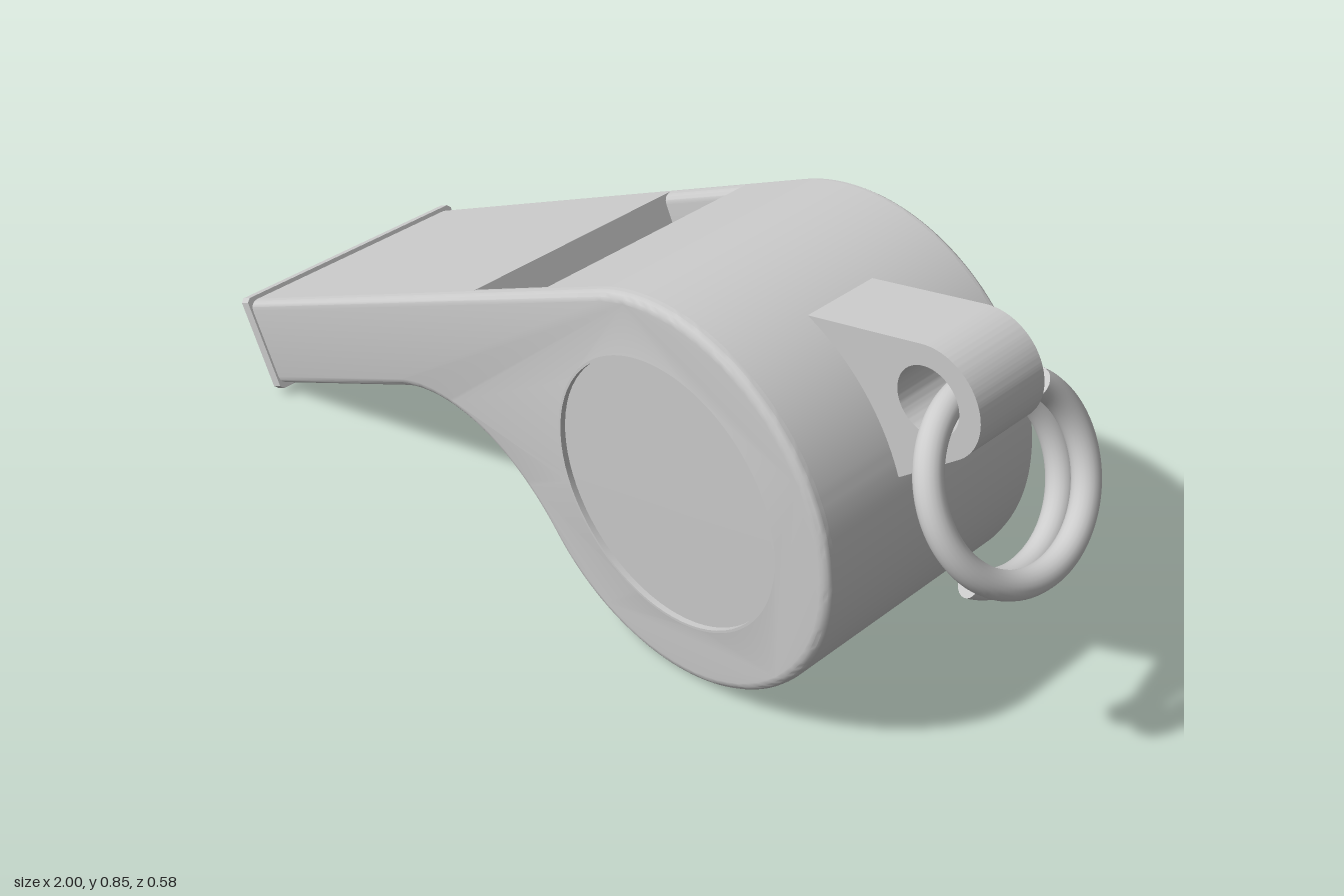
import * as THREE from 'three';
import { toCreasedNormals } from 'three/addons/utils/BufferGeometryUtils.js';

const material = new THREE.MeshStandardMaterial({ color: 0xcccccc, side: THREE.DoubleSide });
const rad = THREE.MathUtils.degToRad;

function addMesh(parent, name, geometry) {
  const mesh = new THREE.Mesh(geometry, material);
  mesh.name = name;
  parent.add(mesh);
  return mesh;
}

function extrude(shape, depth, options = {}) {
  const geo = new THREE.ExtrudeGeometry(shape, { depth, bevelEnabled: false, curveSegments: 56, ...options });
  geo.translate(0, 0, -depth / 2);
  return toCreasedNormals(geo, 0.65);
}

// Body dimensions; the origin is the chamber centre and the mouthpiece runs along -x
const R = 0.405, CHAMBER = 0.35, MOUTH = -1.28, UNDER = 0.205;

// Outer contour from the top of the chamber round to the lower mouth corner
function outerContour(path) {
  path.lineTo(0, R);
  path.absarc(0, 0, R, Math.PI / 2, rad(-165), true);
  path.bezierCurveTo(-0.45, 0.115, -0.62, UNDER, -0.75, UNDER);
  path.lineTo(MOUTH, UNDER);
}

function buildCore() {
  const s = new THREE.Shape();
  s.moveTo(MOUTH, R);
  // Sound window, opening into the round chamber
  s.lineTo(-0.401, R);
  s.lineTo(-0.401, 0.285);
  s.lineTo(-0.203, 0.285);
  s.absarc(0, 0, CHAMBER, rad(125.5), rad(118.3 + 360), false);
  s.lineTo(-0.166, R);
  outerContour(s);
  // Air duct
  s.lineTo(MOUTH, 0.228);
  s.lineTo(-0.85, 0.228);
  s.lineTo(-0.85, 0.385);
  s.lineTo(MOUTH, 0.385);
  s.closePath();
  return extrude(s, 0.53);
}

function buildSide() {
  const s = new THREE.Shape();
  s.moveTo(MOUTH, R);
  outerContour(s);
  s.closePath();
  s.holes.push(new THREE.Path().absarc(0, 0, 0.3, 0, Math.PI * 2, true));
  return extrude(s, 0.0025, {
    bevelEnabled: true, bevelSize: 0.02, bevelThickness: 0.02, bevelOffset: -0.02, bevelSegments: 4,
  });
}

// Round panel sunk slightly into the side
function buildPanel() {
  const profile = [[0, -0.01], [0.275, -0.012], [0.275, 0], [0.325, -0.0003]];
  const geo = new THREE.LatheGeometry(profile.map(([x, y]) => new THREE.Vector2(x, y)), 72);
  return toCreasedNormals(geo, 0.65).rotateX(Math.PI / 2);
}

// Lip around the mouthpiece opening
function buildLip() {
  const rect = (path, w, low, high, c) => {
    [[-w + c, low], [w - c, low], [w, low + c], [w, high - c], [w - c, high], [-w + c, high],
      [-w, high - c], [-w, low + c]].forEach(([x, y], i) => (i ? path.lineTo(x, y) : path.moveTo(x, y)));
    path.closePath();
    return path;
  };
  const s = rect(new THREE.Shape(), 0.292, 0.196, 0.414, 0.008);
  s.holes.push(rect(new THREE.Path(), 0.255, 0.226, 0.387, 0.02));
  return extrude(s, 0.028).rotateY(Math.PI / 2).translate(MOUTH + 0.014, 0, 0);
}

// Pierced lug that carries the ring
function buildLug() {
  const s = new THREE.Shape();
  s.moveTo(0.45, 0.775);
  s.lineTo(0.734, 0.848);
  s.absarc(0.76, 0.742, 0.109, rad(104), rad(-50), true);
  s.lineTo(0.71, 0.555);
  s.lineTo(0.66, 0.56);
  s.lineTo(0.6, 0.67);
  s.closePath();
  s.holes.push(new THREE.Path().absarc(0.757, 0.742, 0.067, 0, Math.PI * 2, true));
  return extrude(s, 0.17);
}

// Split ring: a tilted helix of one and a half turns
class RingCurve extends THREE.Curve {
  getPoint(t, target = new THREE.Vector3()) {
    const a = rad(50 - 538 * t), r = 0.176;
    const along = 0.035 - 0.09 * t;
    const up = r * Math.sin(a);
    return target.set(0.873 - 0.5 * up + 0.866 * along, 0.59 + 0.866 * up + 0.5 * along, -r * Math.cos(a));
  }
}

function buildRing() {
  const ring = new THREE.Group();
  ring.name = 'splitRing';
  const curve = new RingCurve();
  addMesh(ring, 'ringCoil', new THREE.TubeGeometry(curve, 160, 0.027, 20));
  for (const t of [0, 1]) {
    const cap = addMesh(ring, 'ringEnd', new THREE.CircleGeometry(0.027, 20));
    const outward = curve.getTangent(t).multiplyScalar(t ? 1 : -1);
    cap.position.copy(curve.getPoint(t));
    cap.quaternion.setFromUnitVectors(new THREE.Vector3(0, 0, 1), outward);
  }
  return ring;
}

export function createModel() {
  const model = new THREE.Group();
  model.name = 'whistle';

  const body = new THREE.Group();
  body.name = 'body';
  body.position.set(0.33, 0.408, 0);
  body.rotation.z = Math.atan(0.5);
  model.add(body);

  addMesh(body, 'bodyCore', buildCore());
  addMesh(body, 'mouthLip', buildLip());
  for (const side of [1, -1]) {
    const label = side > 0 ? 'front' : 'back';
    addMesh(body, label + 'Side', buildSide()).position.z = side * 0.26625;
    const panel = addMesh(body, label + 'Panel', buildPanel());
    panel.position.z = side * 0.2875;
    if (side < 0) panel.rotation.y = Math.PI;
  }

  addMesh(model, 'lug', buildLug());
  model.add(buildRing());
  return model;
}
